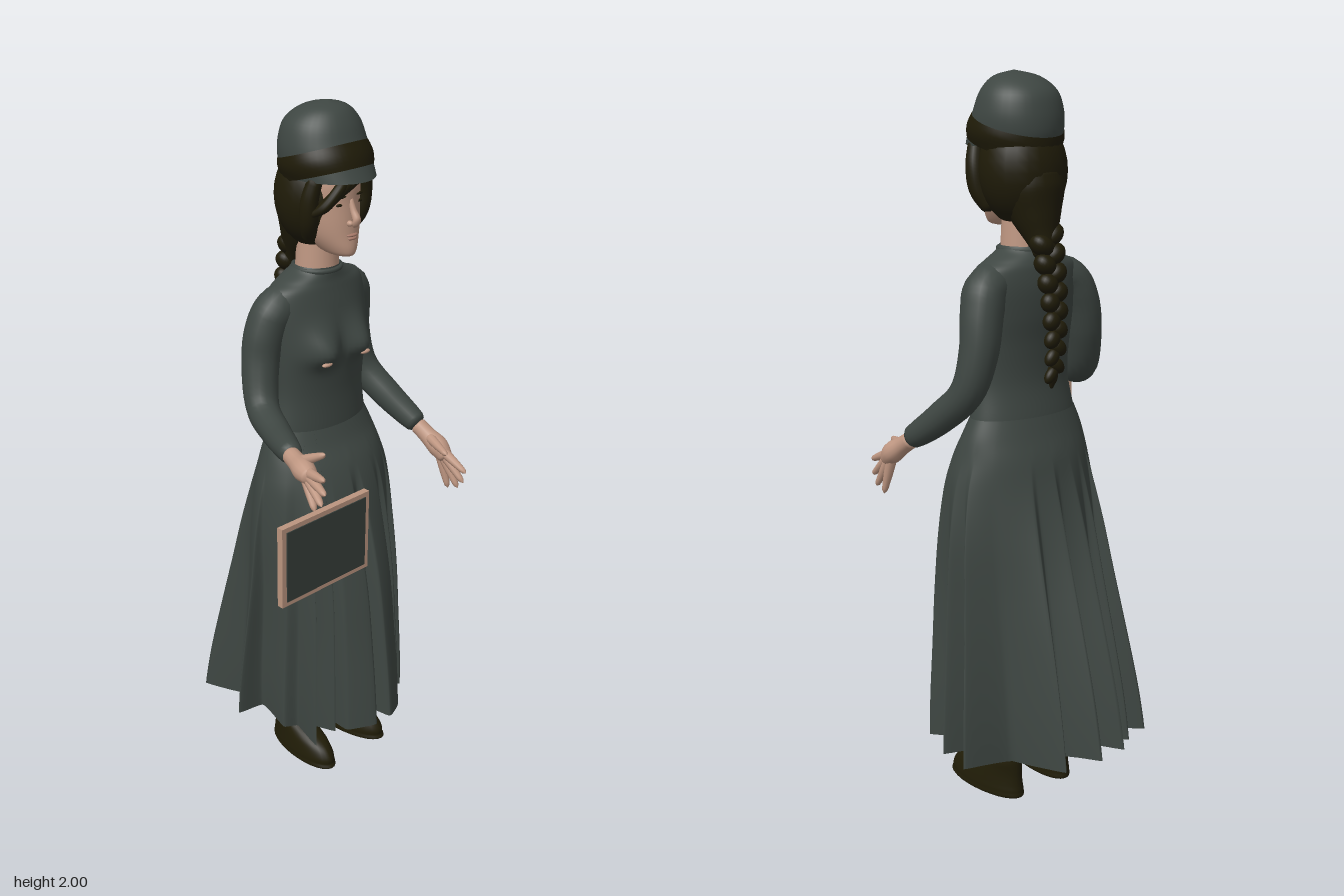
import * as THREE from 'three';

const mat = (name, color, side = THREE.FrontSide) => {
  const m = new THREE.MeshStandardMaterial({ color, side });
  m.name = name;
  return m;
};
const CX = 0.117; // body axis

// Catmull-Rom blend through rows of numbers, t from 0 to 1
function blend(rows, t) {
  const f = t * (rows.length - 1), i = Math.min(Math.floor(f), rows.length - 2), s = f - i;
  const at = (k) => rows[Math.max(0, Math.min(rows.length - 1, k))];
  return rows[i].map((p1, k) => {
    const p0 = at(i - 1)[k], p2 = at(i + 1)[k], p3 = at(i + 2)[k];
    return p1 + 0.5 * s * (p2 - p0 + s * (2 * p0 - 5 * p1 + 4 * p2 - p3 + s * (3 * (p1 - p2) + p3 - p0)));
  });
}

// Closed smooth skin from point(u, v): u goes round, v goes along
function skinOver(cols, rows, point) {
  const pos = [], idx = [];
  for (let i = 0; i <= rows; i++) for (let j = 0; j < cols; j++) pos.push(...point(j / cols, i / rows));
  for (let i = 0; i < rows; i++) for (let j = 0; j < cols; j++) {
    const k = (j + 1) % cols, a = i * cols + j, b = i * cols + k;
    idx.push(a, b, a + cols, b, b + cols, a + cols);
  }
  const g = new THREE.BufferGeometry();
  g.setAttribute('position', new THREE.Float32BufferAttribute(pos, 3));
  g.setIndex(idx);
  g.computeVertexNormals();
  return g;
}

// Oval rings [y, half width, front z, back z] stacked upward
const oval = ([y, w, zf, zb], u, cx) => {
  const a = u * Math.PI * 2;
  return [cx + w * Math.sin(a), y, (zf + zb) / 2 + (zf - zb) / 2 * Math.cos(a)];
};
const stack = (rings, cx = CX, cols = 36) =>
  skinOver(cols, (rings.length - 1) * 5, (u, v) => oval(blend(rings, v), u, cx));

// Round limb through [x, y, z, radius], with rounded ends
function limb(pts, cols = 14, steps = 24) {
  const curve = new THREE.CatmullRomCurve3(pts.map((p) => new THREE.Vector3(p[0], p[1], p[2])));
  const fr = curve.computeFrenetFrames(steps);
  return skinOver(cols, steps, (u, v) => {
    const i = Math.round(v * steps), c = curve.getPoint(v), a = u * Math.PI * 2;
    const end = i === 0 || i === steps ? 0.02 : i === 1 || i === steps - 1 ? 0.85 : 1;
    const r = blend(pts, v)[3] * end;
    c.addScaledVector(fr.normals[i], r * Math.cos(a)).addScaledVector(fr.binormals[i], r * Math.sin(a));
    return c.toArray();
  });
}

export function createModel() {
  const M = {
    dress: mat('dress grey', 0x3e4642, THREE.DoubleSide),
    skin: mat('skin', 0xbf9782),
    hair: mat('dark hair', 0x1f1b08, THREE.DoubleSide),
    boot: mat('boot brown', 0x201c07),
    wood: mat('slate frame', 0xbb957f),
    slate: mat('slate face', 0x363e3a),
    lips: mat('lips', 0xa57868),
  };
  const model = new THREE.Group();
  const add = (name, geo, m, parent = model) => {
    const mesh = new THREE.Mesh(geo, m);
    mesh.name = name;
    parent.add(mesh);
    return mesh;
  };
  const ball = (name, m, x, y, z, rx, ry, rz, parent) => {
    const b = add(name, new THREE.SphereGeometry(1, 24, 16), m, parent);
    b.position.set(x, y, z);
    b.scale.set(rx, ry, rz);
    return b;
  };

  // Skirt: hip ovals blended into a pleated hem outline of [x, z] points
  const hem = [[.115, .1], [.14, .235], [.215, .2], [.2, .1], [.25, .165], [.26, .08], [.31, .12], [.32, .04],
    [.37, .05], [.33, -.04], [.425, -.09], [.33, -.125], [.425, -.18], [.28, -.21], [.225, -.37], [.18, -.3],
    [.12, -.4], [.1, -.275], [.02, -.38], [.005, -.28], [-.045, -.33], [-.048, -.23], [-.13, -.305], [-.09, -.17],
    [-.18, -.09], [-.1, -.07], [-.115, .04], [-.075, .06], [-.1, .165], [-.04, .09], [-.015, .16], [.015, .1],
    [.01, .185], [.085, .235]];
  const outline = new THREE.CatmullRomCurve3(hem.map(([x, z]) => new THREE.Vector3(x, 0, z)), true, 'catmullrom', 0.2);
  const hips = [[.183, .27, .18, -.27, 1], [.4, .235, .15, -.22, .75], [.6, .23, .14, -.2, .5], [.78, .232, .12, -.195, .26],
    [.92, .222, .105, -.19, .08], [1.0, .206, .085, -.185, 0], [1.06, .188, .05, -.165, 0], [1.11, .166, .028, -.15, 0]];
  add('skirt', skinOver(238, 36, (u, v) => {
    const r = blend(hips, v), h = outline.getPoint(u), f = r[4];
    const a = Math.atan2(h.x - CX, h.z + .07) / (Math.PI * 2);
    const [x, y, z] = oval(r, a, CX);
    return [x + (h.x - x) * f, y + .012 * f * Math.cos(a * 25), z + (h.z - z) * f];
  }), M.dress);

  // Bodice, swelling at the bust
  const torso = [[1.05, .17, .03, -.15], [1.1, .166, .03, -.15], [1.2, .15, .027, -.135], [1.3, .156, .033, -.14],
    [1.38, .163, .03, -.152], [1.45, .168, .018, -.157], [1.5, .158, .006, -.153], [1.525, .12, 0, -.147],
    [1.545, .08, -.002, -.138], [1.56, .064, -.004, -.13]];
  add('bodice', skinOver(72, 60, (u, v) => {
    const p = oval(blend(torso, v), u, CX), dy = p[1] - 1.335, dx = Math.abs(p[0] - CX) - .068;
    if (Math.cos(u * Math.PI * 2) > 0)
      p[2] += .044 * Math.exp(-((dx / .05) ** 2) - (dy / (dy < 0 ? .035 : .065)) ** 2);
    return p;
  }), M.dress);
  const collar = add('collar', new THREE.TorusGeometry(.065, .007, 8, 32), M.dress);
  collar.position.set(CX, 1.55, -.066);
  collar.rotation.x = Math.PI / 2;
  for (const s of [-1, 1]) ball('bustGap', M.skin, CX + s * .073, 1.311, .052, .018, .006, .009);

  // Sleeves
  add('rightSleeve', limb([[.05, 1.475, -.075, .05], [-.02, 1.458, -.08, .058], [-.055, 1.4, -.088, .057], [-.08, 1.3, -.082, .052],
    [-.11, 1.2, -.04, .046], [-.15, 1.173, .055, .041], [-.19, 1.174, .135, .036], [-.226, 1.18, .205, .029]], 18, 36), M.dress);
  add('leftSleeve', limb([[.184, 1.475, -.075, .05], [.254, 1.458, -.083, .058], [.278, 1.4, -.095, .057], [.298, 1.3, -.105, .052],
    [.322, 1.195, -.085, .046], [.35, 1.115, -.005, .042], [.37, 1.065, .06, .036], [.378, 1.04, .1, .03]], 18, 36), M.dress);

  // Hands: wrist, palm, then finger tips with the thumb last
  function hand(name, wrist, palm, tips) {
    const g = new THREE.Group();
    g.name = name;
    model.add(g);
    add('palm', limb([[...wrist, .024], [...wrist.map((w, i) => (w + palm[i]) / 2), .025], [...palm, .03],
      [...palm.map((p, i) => p + (tips[1][i] - p) * .35), .02]]), M.skin, g);
    tips.forEach((tip, k) => {
      const from = k === 4 ? wrist.map((w, i) => (w + palm[i]) / 2) : palm;
      const mid = from.map((p, i) => p + (tip[i] - p) * .5);
      add(k === 4 ? 'thumb' : 'finger', limb([[...from, .016], [...mid, .013], [...tip, .008]], 10, 14), M.skin, g);
    });
  }
  hand('rightHand', [-.222, 1.18, .185], [-.255, 1.175, .275],
    [[-.295, 1.2, .388], [-.303, 1.167, .4], [-.303, 1.132, .388], [-.292, 1.1, .352], [-.235, 1.232, .33]]);
  hand('leftHand', [.377, 1.045, .085], [.39, .99, .165],
    [[.385, .945, .277], [.394, .905, .262], [.399, .878, .238], [.4, .865, .2], [.34, 1.005, .24]]);

  // Slate board
  const board = add('slateFrame', new THREE.BoxGeometry(.302, .222, .018), M.wood);
  board.position.set(-.281, 1.003, .374);
  const face = add('slateFace', new THREE.BoxGeometry(.274, .196, .004), M.slate);
  face.position.set(-.281, 1.003, .384);

  // Legs and boots
  for (const s of [-1, 1]) {
    const g = new THREE.Group();
    g.name = s < 0 ? 'rightBoot' : 'leftBoot';
    g.position.set(CX + s * .088, 0, -.1);
    g.rotation.y = s * .1;
    model.add(g);
    add('boot', stack([[0, 0, .02, .01], [.002, .05, .21, -.045], [.02, .054, .222, -.048], [.04, .052, .218, -.045],
      [.065, .048, .195, -.043], [.085, .044, .15, -.043], [.105, .04, .09, -.043], [.13, .034, .054, -.043],
      [.2, .033, .05, -.046], [.28, .04, .055, -.052], [.281, .02, .03, -.02]], 0, 28), M.boot, g);
    add('leg', new THREE.CylinderGeometry(.055, .034, .4, 20), M.skin, g).position.y = .46;
  }

  // Head, neck and face
  const neck = add('neck', new THREE.CylinderGeometry(.053, .062, .16, 24), M.skin);
  neck.position.set(CX, 1.6, -.065);
  add('head', stack([[1.6, 0, .04, .03], [1.606, .028, .066, -.03], [1.625, .047, .072, -.07], [1.66, .067, .069, -.1],
    [1.7, .078, .067, -.12], [1.75, .083, .064, -.13], [1.8, .082, .064, -.13], [1.85, .07, .05, -.12]]), M.skin);
  add('nose', limb([[CX, 1.762, .055, .008], [CX, 1.73, .069, .009], [CX, 1.703, .082, .012], [CX, 1.692, .068, .011]]), M.skin);
  ball('upperLip', M.lips, CX, 1.663, .064, .02, .005, .011);
  ball('lowerLip', M.lips, CX, 1.654, .064, .017, .005, .01);
  for (const s of [-1, 1]) {
    ball('nostril', M.skin, CX + s * .011, 1.696, .067, .008, .008, .011);
    ball('eye', M.hair, CX + s * .034, 1.746, .053, .014, .004, .005);
    const brow = ball('brow', M.hair, CX + s * .036, 1.766, .053, .021, .004, .006);
    brow.rotation.set(0, s * .35, -s * .1);
  }

  // Hair, drawn together at the nape, and fringe
  ball('hairBack', M.hair, CX, 1.75, -.066, .12, .145, .112);
  add('napeHair', limb([[CX, 1.77, -.09, .082], [CX, 1.7, -.1, .087], [CX, 1.63, -.122, .064], [CX, 1.57, -.147, .038],
    [CX, 1.53, -.16, .03]], 24), M.hair);
  for (const s of [-1, 1])
    add('sideHair', limb([[CX + s * .085, 1.83, .02, .02], [CX + s * .1, 1.76, .008, .024],
      [CX + s * .094, 1.7, 0, .025], [CX + s * .072, 1.645, -.022, .018]]), M.hair);
  for (let k = 0; k < 3; k++)
    add('fringe', limb([[.165 - k * .03, 1.825, .062, .014], [.1 - k * .018, 1.798 - k * .004, .066, .015],
      [.05 - k * .01, 1.765 - k * .008, .05, .014], [.018 - k * .004, 1.725, .018, .008]]), M.hair);

  // Braid of crossing strands, narrowing downward
  const braid = new THREE.Group();
  braid.name = 'braid';
  model.add(braid);
  for (let k = 0; k < 16; k++) {
    const t = k / 15, s = k % 2 ? 1 : -1, r = .038 - .021 * t;
    const lock = ball('braidLock', M.hair, CX + s * r * .5, 1.59 - .36 * t, -.157 - .04 * Math.sin(t * 2.2), r * .95, .026, r * .85, braid);
    lock.rotation.z = s * .7;
  }
  add('braidTail', limb([[CX, 1.25, -.186, .013], [CX, 1.22, -.184, .014], [CX, 1.19, -.18, .004]]), M.hair, braid);

  // Hat with a tilted band
  const hat = [[1.812, .113, .112, -.158], [1.85, .119, .092, -.168], [1.9, .117, .068, -.165], [1.95, .1, .047, -.147],
    [1.985, .06, .018, -.098], [2, 0, -.03, -.031]];
  add('hat', stack(hat), M.dress);
  add('hatBand', skinOver(48, 6, (u, v) => {
    const y = 1.842 + .036 * Math.cos(u * Math.PI * 2) + (v - .5) * .06;
    // find the hat ring at this height
    let t = 0;
    while (t < 1 && blend(hat, t)[0] < y) t += .004;
    const [, w, zf, zb] = blend(hat, t), o = .001 + .006 * Math.sin(v * Math.PI);
    return oval([y, w + o, zf + o, zb - o], u, CX);
  }), M.hair);
  return model;
}
